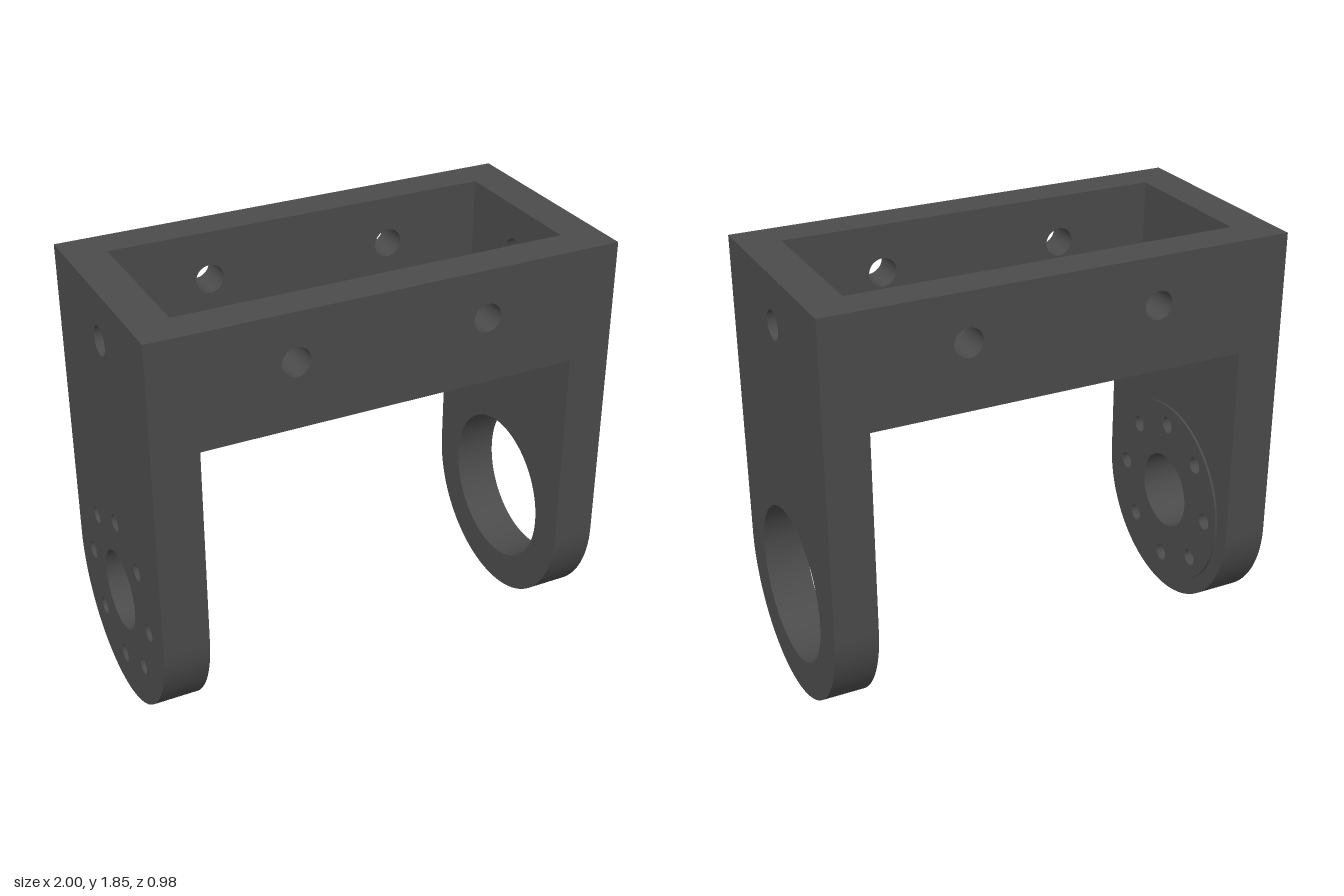
import * as THREE from 'three';
import { toCreasedNormals } from 'three/addons/utils/BufferGeometryUtils.js';

const HALF_W = 1, HALF_D = 0.49, TOP = 1.845, UNDER = 1.36, FLOOR = 1.45;
const PIVOT_Y = 0.49, HUB_ARM = 0.195, BEARING_ARM = 0.185, END_WALL = 0.165, SIDE_WALL = 0.16;

const material = new THREE.MeshStandardMaterial({ color: 0x4b4b4b });

function circle(x, y, r) {
  return new THREE.Path().absarc(x, y, r, 0, Math.PI * 2, true);
}

function rectangle(halfWidth, bottom, top) {
  return new THREE.Shape([
    new THREE.Vector2(-halfWidth, bottom), new THREE.Vector2(halfWidth, bottom),
    new THREE.Vector2(halfWidth, top), new THREE.Vector2(-halfWidth, top),
  ]);
}

function plate(shape, depth) {
  const geometry = new THREE.ExtrudeGeometry(shape, { depth, bevelEnabled: false, curveSegments: 48 });
  return toCreasedNormals(geometry, Math.PI / 6);
}

// Plate lying in the z-y plane, growing towards +x from the given x
function sidePlate(shape, x, depth) {
  return plate(shape, depth).rotateY(Math.PI / 2).translate(x, 0, 0);
}

function armShape() {
  const s = new THREE.Shape();
  s.moveTo(HALF_D, UNDER);
  s.lineTo(-HALF_D, UNDER);
  s.lineTo(-HALF_D, PIVOT_Y);
  s.absarc(0, PIVOT_Y, HALF_D, Math.PI, Math.PI * 2, false);
  s.lineTo(HALF_D, UNDER);
  return s;
}

// Central bore with a ring of eight bolt holes
function hubHoles() {
  const holes = [circle(0, PIVOT_Y, 0.172)];
  for (let i = 0; i < 8; i++) {
    const a = (i * Math.PI) / 4;
    holes.push(circle(Math.cos(a) * 0.33, PIVOT_Y + Math.sin(a) * 0.33, 0.037));
  }
  return holes;
}

export function createModel() {
  const group = new THREE.Group();
  group.name = 'pivotBracket';
  const add = (name, geometry) => {
    const mesh = new THREE.Mesh(geometry, material);
    mesh.name = name;
    group.add(mesh);
  };

  // Right arm with bolt pattern and a thin raised disc on its inner face
  const hubArm = armShape();
  hubArm.holes.push(...hubHoles());
  add('rightArm', sidePlate(hubArm, -HALF_W, HUB_ARM));

  const disc = new THREE.Shape().absarc(0, PIVOT_Y, 0.42, 0, Math.PI * 2, false);
  disc.holes.push(...hubHoles());
  add('raisedDisc', sidePlate(disc, -HALF_W + HUB_ARM, 0.01));

  // Left arm with one large bearing bore
  const bearingArm = armShape();
  bearingArm.holes.push(circle(0, PIVOT_Y, 0.333));
  add('leftArm', sidePlate(bearingArm, HALF_W - BEARING_ARM, BEARING_ARM));

  // Tray floor joining the arms
  const floor = new THREE.BoxGeometry(HALF_W * 2, FLOOR - UNDER, HALF_D * 2);
  add('trayFloor', floor.translate(0, (FLOOR + UNDER) / 2, 0));

  // Long tray walls, two screw holes each
  for (const [name, z] of [['frontWall', HALF_D - SIDE_WALL], ['backWall', -HALF_D]]) {
    const wall = rectangle(HALF_W, FLOOR, TOP);
    wall.holes.push(circle(-0.41, 1.64, 0.061), circle(0.41, 1.64, 0.061));
    add(name, plate(wall, SIDE_WALL).translate(0, 0, z));
  }

  // Short tray walls, one screw hole each
  for (const [name, x] of [['leftWall', HALF_W - END_WALL], ['rightWall', -HALF_W]]) {
    const wall = rectangle(HALF_D - SIDE_WALL, FLOOR, TOP);
    wall.holes.push(circle(0, 1.64, 0.061));
    add(name, sidePlate(wall, x, END_WALL));
  }

  return group;
}
